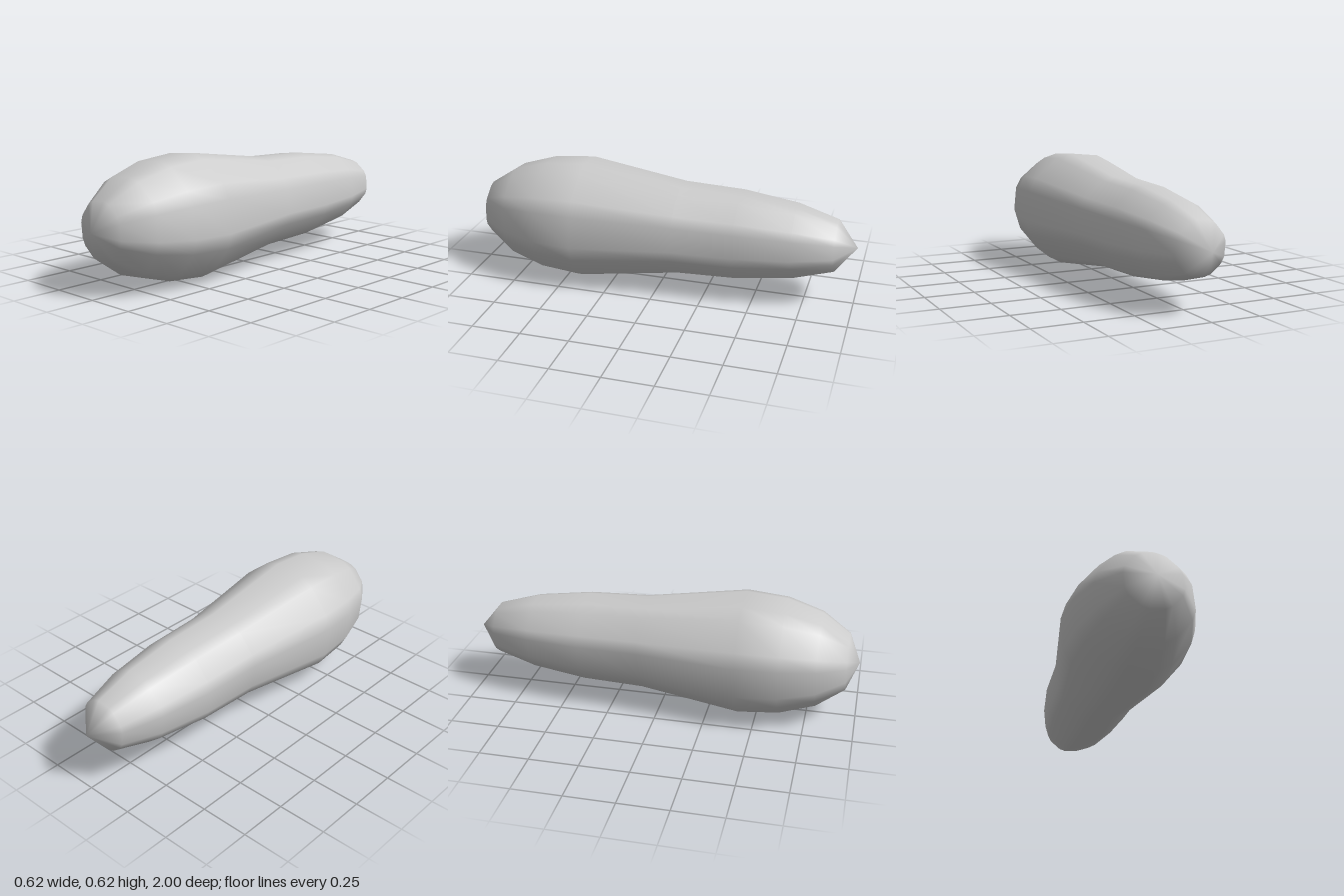
import * as THREE from 'three';

// Closed skin around the z axis: [z, radius] rings, capped by a point at each end
function skin(rings, angles, frontZ, backZ, height) {
  const n = angles.length;
  const pos = [0, height, frontZ];
  for (const [z, r] of rings) {
    for (const a of angles) pos.push(r * Math.cos(a), height + r * Math.sin(a), z);
  }
  pos.push(0, height, backZ);
  const last = pos.length / 3 - 1;
  const at = (i, j) => 1 + i * n + (j % n);

  const index = [];
  for (let j = 0; j < n; j++) {
    index.push(0, at(0, j), at(0, j + 1));
    for (let i = 0; i < rings.length - 1; i++) {
      const a = at(i, j), b = at(i, j + 1), c = at(i + 1, j), d = at(i + 1, j + 1);
      index.push(a, c, b, b, c, d);
    }
    index.push(last, at(rings.length - 1, j + 1), at(rings.length - 1, j));
  }

  const geometry = new THREE.BufferGeometry();
  geometry.setAttribute('position', new THREE.Float32BufferAttribute(pos, 3));
  geometry.setIndex(index);
  geometry.computeVertexNormals();
  return geometry;
}

export function createModel() {
  const group = new THREE.Group();
  group.name = 'roundedClub';

  // Octagonal section with bevelled corners: 15 and 30 degree steps in turn
  const angles = [];
  for (let k = 0; k < 8; k++) {
    for (const start of [21, 35.7]) angles.push(THREE.MathUtils.degToRad(start + 45 * k));
  }

  // Bulbous front narrowing to a slim, rounded back
  const rings = [
    [0.94, 0.144], [0.8, 0.24], [0.62, 0.296], [0.41, 0.314],
    [-0.1, 0.239], [-0.41, 0.228], [-0.69, 0.191], [-0.895, 0.132],
  ];

  const body = new THREE.Mesh(
    skin(rings, angles, 1, -1, 0.3125),
    new THREE.MeshStandardMaterial({ color: 0xcccccc })
  );
  body.name = 'body';
  group.add(body);
  return group;
}
